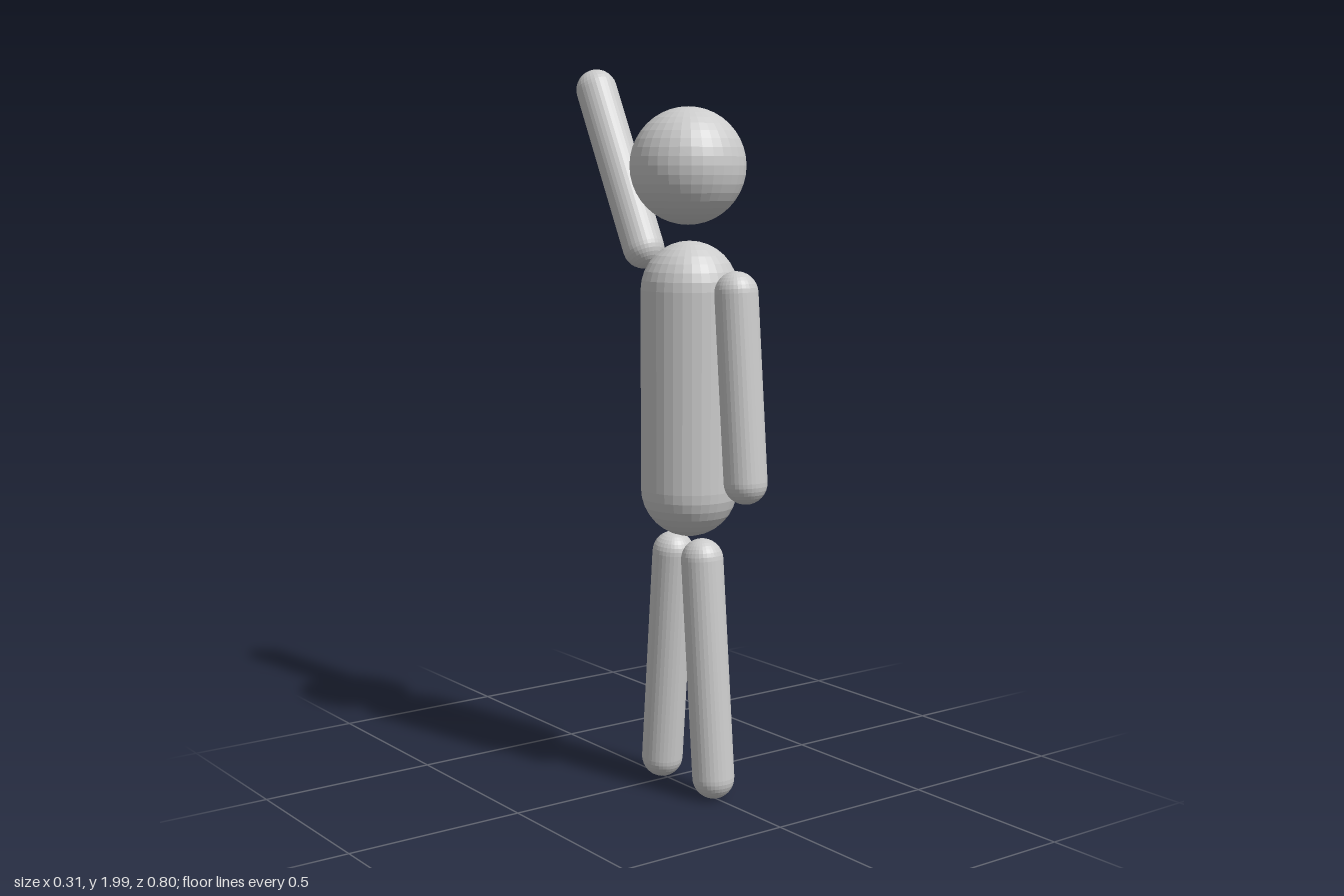
import * as THREE from 'three';

const material = new THREE.MeshStandardMaterial({ color: 0xcccccc, flatShading: true });
const UP = new THREE.Vector3(0, 1, 0);

// Capsule whose cap centres sit at two [y, z] points on the x = 0 plane
function capsule(name, radius, [y1, z1], [y2, z2]) {
  const top = new THREE.Vector3(0, y1, z1);
  const bottom = new THREE.Vector3(0, y2, z2);
  const axis = top.clone().sub(bottom);
  const mesh = new THREE.Mesh(new THREE.CapsuleGeometry(radius, axis.length(), 8, 32), material);
  mesh.name = name;
  mesh.position.copy(top).add(bottom).multiplyScalar(0.5);
  mesh.quaternion.setFromUnitVectors(UP, axis.normalize());
  return mesh;
}

export function createModel() {
  const figure = new THREE.Group();
  figure.name = 'figure';

  // Floating ball head
  const head = new THREE.Mesh(new THREE.SphereGeometry(0.157, 32, 20), material);
  head.name = 'head';
  head.position.set(0, 1.728, 0.092);
  figure.add(head);

  // Torso and limbs, arranged along the z axis
  const limb = 0.058;
  figure.add(
    capsule('torso', 0.132, [1.397, 0.099], [0.855, 0.099]),
    capsule('loweredArm', limb, [1.398, 0.303], [0.903, 0.346]),
    capsule('raisedArm', limb, [1.942, -0.342], [1.503, -0.114]),
    capsule('frontLeg', limb, [0.665, 0.159], [0.063, 0.212]),
    capsule('backLeg', limb, [0.665, 0.026], [0.063, -0.026]),
  );

  // Rest the feet exactly on the ground
  figure.children.forEach((part) => { part.position.y -= 0.004; });
  return figure;
}
